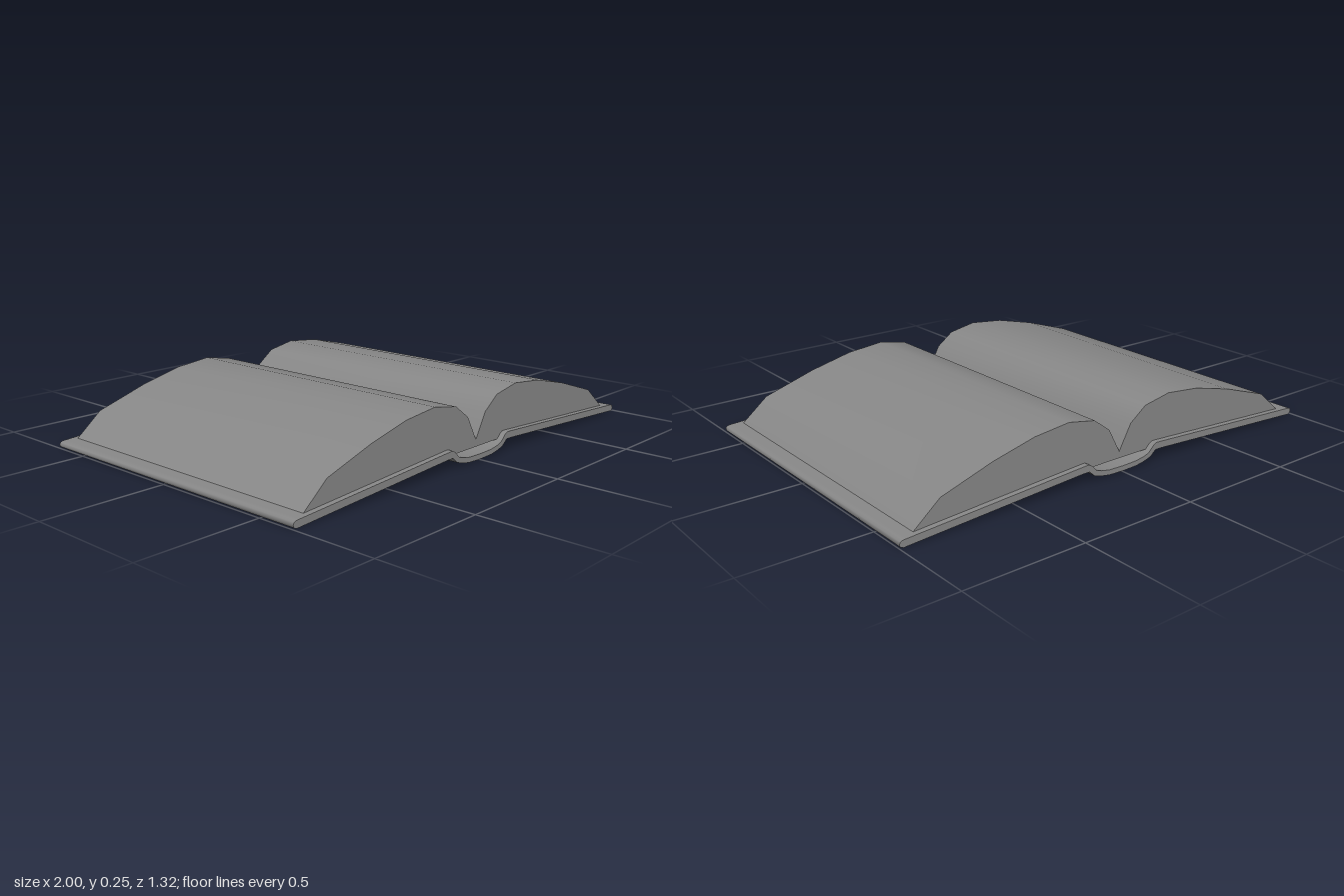
import * as THREE from 'three';
import { toCreasedNormals } from 'three/addons/utils/BufferGeometryUtils.js';

const material = new THREE.MeshStandardMaterial({ color: 0x888888 });

// Closes a profile from its upper and lower right-hand edges (both listed from the middle
// outward), mirrors it to the left and extrudes it along z.
function symmetricSlab(name, lower, upper, depth, crease) {
  const right = [...lower, ...[...upper].reverse()];
  const left = [...right].reverse().filter(([x]) => x > 0).map(([x, y]) => [-x, y]);
  const shape = new THREE.Shape([...right, ...left].map(([x, y]) => new THREE.Vector2(x, y)));
  const geometry = new THREE.ExtrudeGeometry(shape, { depth, bevelEnabled: false });
  geometry.translate(0, 0, -depth / 2);
  const mesh = new THREE.Mesh(toCreasedNormals(geometry, crease), material);
  mesh.name = name;
  return mesh;
}

export function createModel() {
  const book = new THREE.Group();
  book.name = 'openBook';

  // Cover boards with rounded edges, joined by a sagging spine
  const underside = [[0, 0.003], [0.07, 0.005], [0.11, 0.012], [0.145, 0.022], [0.172, 0.045], [0.2, 0.045],
    [0.97, 0.001], [0.985, 0], [0.996, 0.005], [1, 0.014]];
  const inside = [[0, 0.024], [0.07, 0.026], [0.11, 0.033], [0.135, 0.041], [0.16, 0.066], [0.175, 0.074],
    [0.2, 0.073], [0.97, 0.029], [0.985, 0.028], [0.996, 0.024]];
  book.add(symmetricSlab('cover', underside, inside, 1.315, 0.9));

  // Two swelling page blocks meeting in the gutter, flat underneath above the spine
  const pageBottom = [[0, 0.047], [0.15, 0.047], [0.172, 0.068], [0.2, 0.068], [0.935, 0.028]];
  const pageTop = [[0, 0.075], [0.055, 0.175], [0.13, 0.23], [0.255, 0.253], [0.415, 0.237],
    [0.6, 0.193], [0.82, 0.123]];
  book.add(symmetricSlab('pages', pageBottom, pageTop, 1.268, 0.7));

  return book;
}
